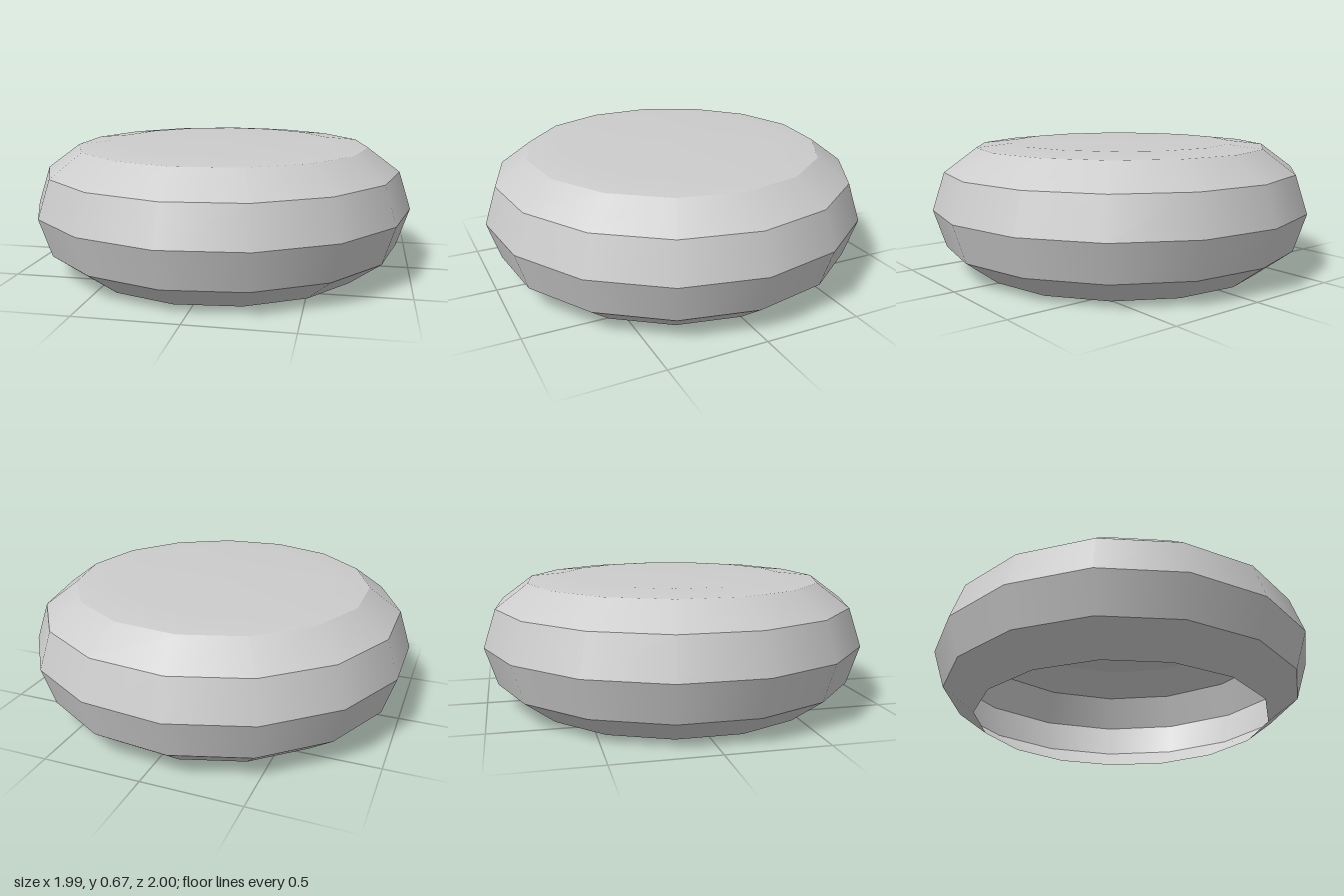
import * as THREE from 'three';

const SIDES = 15;
const START = Math.PI / 2; // puts one corner of the polygon on +x

export function createModel() {
  const group = new THREE.Group();
  group.name = 'roundCushionShell';
  const material = new THREE.MeshStandardMaterial({ color: 0xcccccc, side: THREE.DoubleSide });

  // Wall rings as [radius, height], from the open underside up to the cap
  const rings = [[0.775, 0], [0.942, 0.126], [1.0055, 0.323], [0.942, 0.519], [0.775, 0.642]];

  // Each band is smooth around and creased against its neighbours
  const wall = new THREE.Group();
  wall.name = 'wall';
  for (let i = 0; i < rings.length - 1; i++) {
    const [r0, y0] = rings[i];
    const [r1, y1] = rings[i + 1];
    const band = new THREE.Mesh(
      new THREE.CylinderGeometry(r1, r0, y1 - y0, SIDES, 1, true, START), material);
    band.position.y = (y0 + y1) / 2;
    band.name = 'wallBand' + (i + 1);
    wall.add(band);
  }
  group.add(wall);

  // Very shallow domed cap
  const capProfile = [[0.775, 0.642], [0.59, 0.662], [0, 0.667]].map(([r, y]) => new THREE.Vector2(r, y));
  const cap = new THREE.Mesh(new THREE.LatheGeometry(capProfile, SIDES, START), material);
  cap.name = 'topCap';
  group.add(cap);

  // An odd number of sides is slightly off centre along x
  group.children.forEach((part) => { part.position.x = -0.011; });
  return group;
}
